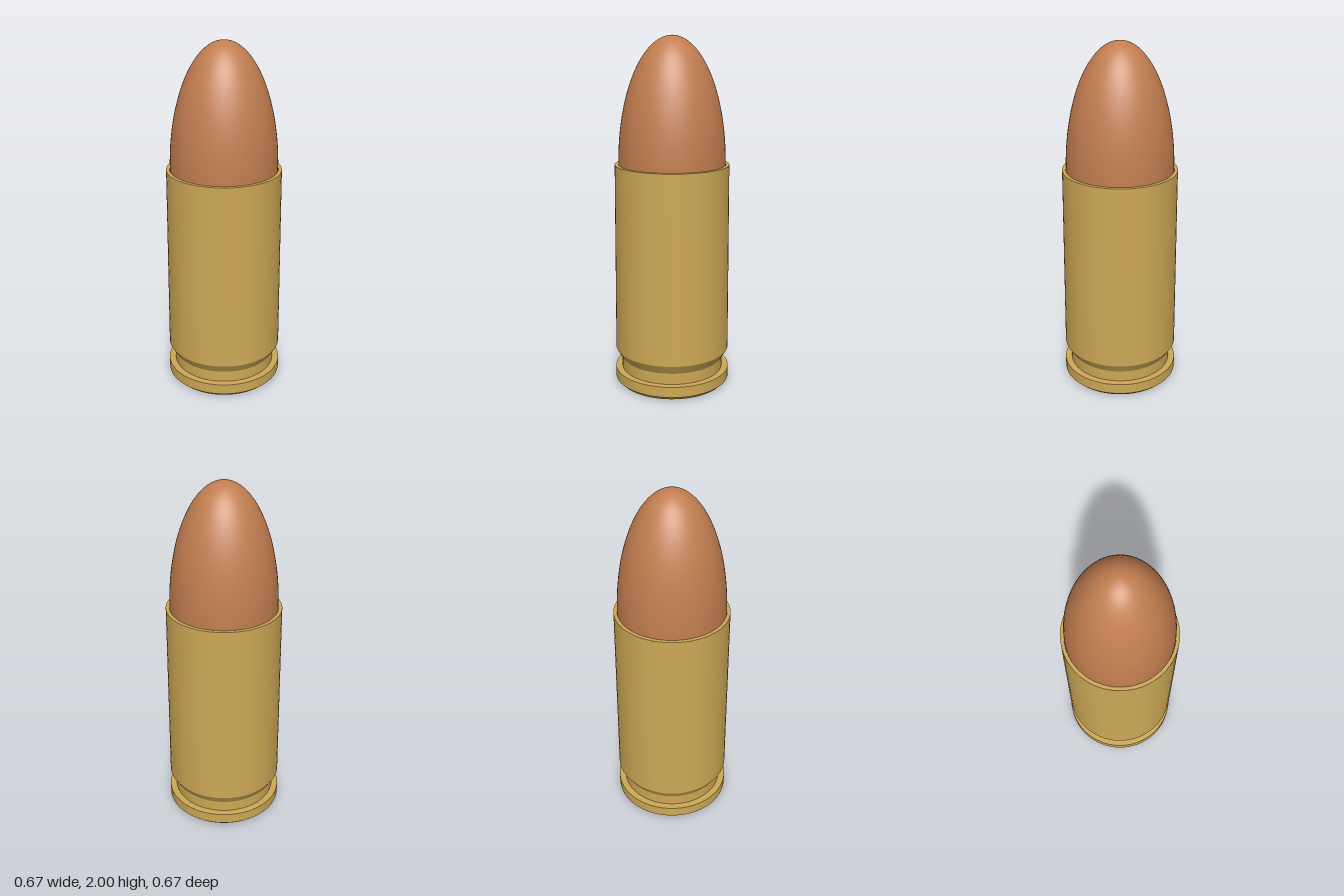
import * as THREE from 'three';
import { toCreasedNormals } from 'three/addons/utils/BufferGeometryUtils.js';

const SEGMENTS = 64;

// Revolve a list of [radius, height] pairs, listed from bottom to top
function revolve(profile) {
  return new THREE.LatheGeometry(profile.map(([r, y]) => new THREE.Vector2(r, y)), SEGMENTS);
}

export function createModel() {
  const brass = new THREE.MeshStandardMaterial({ name: 'brass', color: 0xcda856 });
  const copper = new THREE.MeshStandardMaterial({ name: 'copper', color: 0xc27e50 });
  const group = new THREE.Group();
  group.name = 'cartridge';

  // Case: chamfered rim, extractor groove, bevel, tapered wall and mouth
  const caseProfile = [
    [0, 0], [0.31, 0], [0.333, 0.022], [0.333, 0.083],
    [0.295, 0.083], [0.295, 0.148], [0.33, 0.205],
    [0.323, 1.29], [0.303, 1.29], [0.303, 1.2],
  ];
  const casing = new THREE.Mesh(toCreasedNormals(revolve(caseProfile), 0.4), brass);
  casing.name = 'casing';
  group.add(casing);

  // Bullet: short seated shank and a half-ellipse nose
  const radius = 0.302, mouth = 1.29, height = 0.71, steps = 32;
  const bulletProfile = [[radius, 1.2]];
  for (let i = 0; i <= steps; i++) {
    const a = (i / steps) * Math.PI / 2;
    bulletProfile.push([i === steps ? 0 : radius * Math.cos(a), mouth + height * Math.sin(a)]);
  }
  const bullet = new THREE.Mesh(revolve(bulletProfile), copper);
  bullet.name = 'bullet';
  group.add(bullet);

  return group;
}
